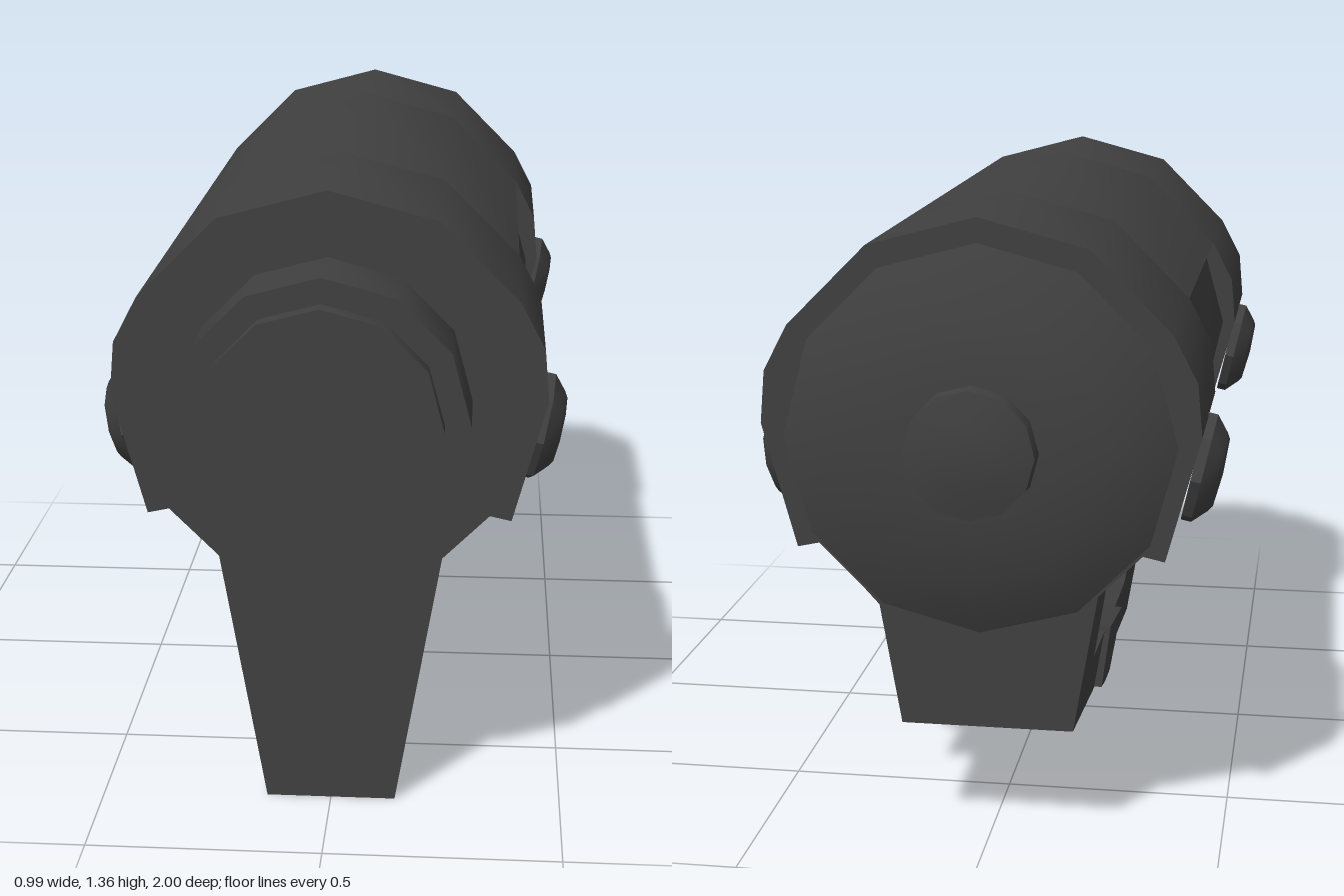
import * as THREE from 'three';
import { toCreasedNormals } from 'three/addons/utils/BufferGeometryUtils.js';

const AXIS_Y = 0.93;
const material = new THREE.MeshStandardMaterial({ color: 0x404040 });

function add(parent, name, geometry) {
  const mesh = new THREE.Mesh(geometry, material);
  mesh.name = name;
  parent.add(mesh);
  return mesh;
}

// Extrudes a half outline (x >= 0, top to bottom) mirrored over x = 0, from z0 to z1
function mirroredPrism(half, z0, z1) {
  const left = half.slice(1, -1).reverse().map(([x, y]) => [-x, y]);
  const shape = new THREE.Shape([...half, ...left].map(([x, y]) => new THREE.Vector2(x, y)));
  const g = new THREE.ExtrudeGeometry(shape, { depth: z1 - z0, bevelEnabled: false });
  return toCreasedNormals(g.translate(0, 0, z0), 0.6);
}

// Extrudes a side outline of [z, y] points; half width grows linearly with height
function taperedSide(points, widthAt) {
  const shape = new THREE.Shape(points.map(([z, y]) => new THREE.Vector2(-z, y)));
  const g = new THREE.ExtrudeGeometry(shape, { depth: 2, bevelEnabled: false });
  g.translate(0, 0, -1).rotateY(Math.PI / 2);
  const p = g.attributes.position;
  for (let i = 0; i < p.count; i++) p.setX(i, Math.sign(p.getX(i)) * widthAt(p.getY(i)));
  g.computeVertexNormals();
  return g;
}

// Turned part along z from [radius, z] points
function turned(profile, sides) {
  const g = new THREE.LatheGeometry(profile.map(([r, z]) => new THREE.Vector2(r, z)), sides);
  return toCreasedNormals(g.rotateX(Math.PI / 2), 0.6);
}

export function createModel() {
  const model = new THREE.Group();
  model.name = 'cylinderUnit';

  // Barrel: wide clamped ends and a recessed middle under the top cover
  const cover = [[0, 1.36], [0.225, 1.3], [0.39, 1.135]];
  const belly = [[0.24, 0.585], [0.21, 0.552], [0, 0.497]];
  const endOutline = [...cover, [0.44, 1.04], [0.45, 0.93], [0.38, 0.67], [0.335, 0.68], ...belly];
  const middleOutline = [...cover, [0.37, 1.11], [0.42, 0.93], [0.372, 0.715], ...belly];
  add(model, 'frontBarrel', mirroredPrism(endOutline, 0.375, 0.79));
  add(model, 'middleBarrel', mirroredPrism(middleOutline, -0.45, 0.375));
  add(model, 'rearBarrel', mirroredPrism(endOutline, -0.87, -0.45));

  // Stepped nose
  add(model, 'noseRing', turned([[0.295, 0.78], [0.295, 0.96], [0, 0.96]], 12)).position.y = AXIS_Y;
  add(model, 'nosePlate', turned([[0.243, 0.95], [0.243, 1], [0, 1]], 12)).position.y = AXIS_Y;

  // Domed tail with a button
  const dome = [[0, -0.952], [0.135, -0.945], [0.275, -0.932], [0.408, -0.868]];
  add(model, 'tailDome', turned(dome, 12)).position.y = 0.905;
  const button = [[0, -1], [0.07, -0.995], [0.132, -0.982], [0.135, -0.94]];
  add(model, 'tailButton', turned(button, 12)).position.y = 0.905;

  // Bolts tilted to lie on the lower side faces
  const boltShape = turned([[0, 0], [0.12, 0], [0.12, 0.022], [0.088, 0.05], [0.075, 0.058], [0, 0.062]], 8);
  boltShape.rotateY(Math.PI / 2);
  for (const side of [1, -1]) {
    for (const z of [0.6, -0.67]) {
      const bolt = add(model, 'sideBolt', boltShape);
      bolt.position.set(side * 0.422, 0.82, z);
      bolt.rotation.set(0, side > 0 ? 0 : Math.PI, -side * 0.22);
      if (side < 0) bolt.rotation.set(0, 0, Math.PI + 0.22);
    }
  }

  // Tapered carrying bracket below the barrel
  const bracketWidth = (y) => 0.14 + 0.17 * y;
  add(model, 'bracket', taperedSide([
    [0.76, 0], [0, 0.115], [-0.27, 0.155], [-0.79, 0.26], [-0.79, 0.59], [-0.545, 0.59],
    [-0.52, 0.33], [0, 0.265], [0.28, 0.24], [0.42, 0.585], [0.76, 0.585],
  ], bracketWidth));
  add(model, 'gripBand', taperedSide([
    [-0.01, 0.105], [-0.15, 0.127], [-0.27, 0.16], [-0.26, 0.31], [0.005, 0.268],
  ], (y) => Math.min(0.205, bracketWidth(y) + 0.018)));

  return model;
}
